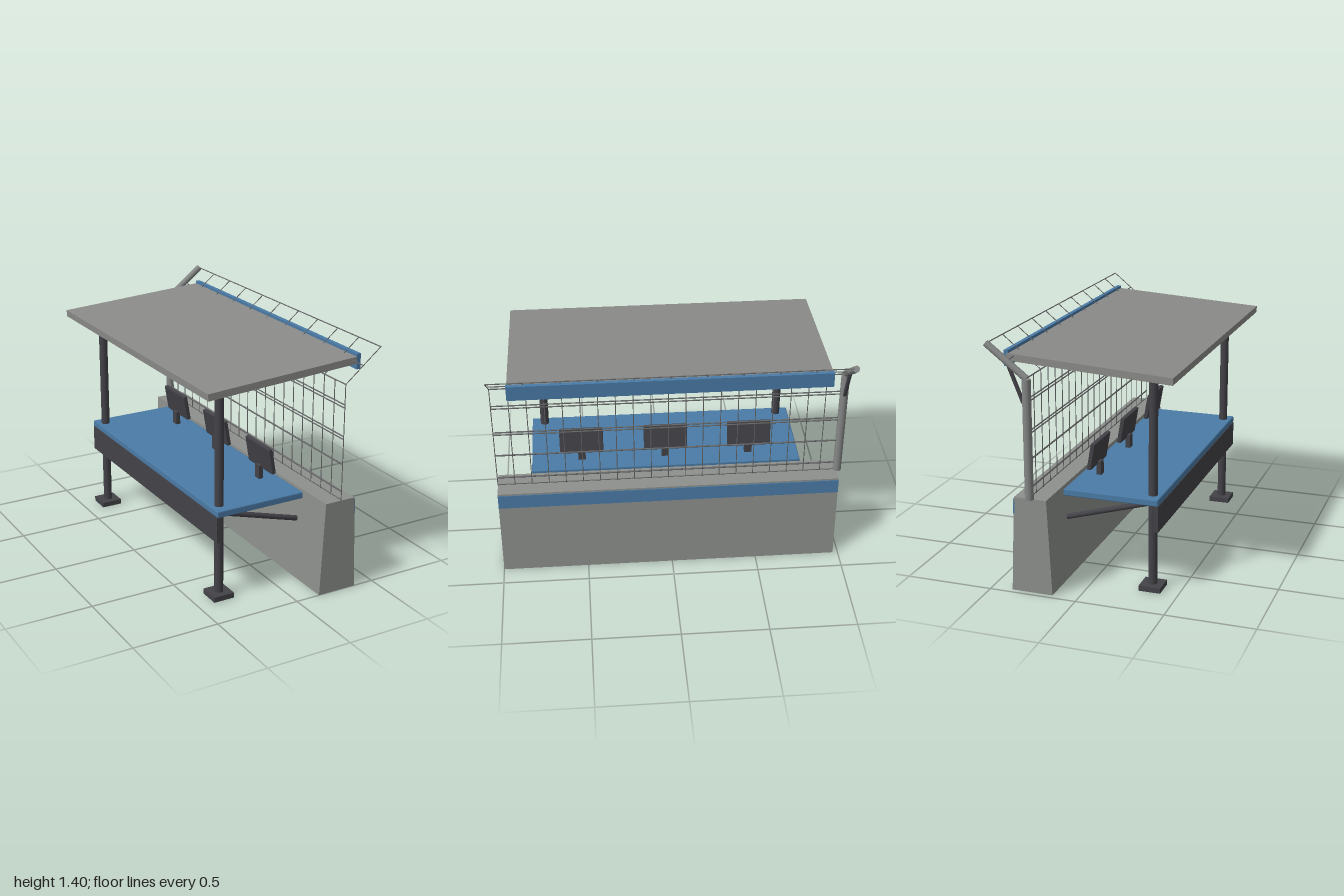
import * as THREE from 'three';
import { RoundedBoxGeometry } from 'three/addons/geometries/RoundedBoxGeometry.js';

const mat = (name, color) => {
  const m = new THREE.MeshStandardMaterial({ color });
  m.name = name;
  return m;
};

export function createModel() {
  const root = new THREE.Group();
  root.name = 'trackside shelter';
  const concrete = mat('concrete grey', 0x8e908d);
  const roofGrey = mat('roof grey', 0x8b8c8a);
  const blue = mat('blue', 0x4a7ba6);
  const dark = mat('dark steel', 0x434248);
  const steel = mat('galvanised steel', 0x858786);
  const wireMat = mat('wire grey', 0x68696a);

  const add = (name, geo, material, x = 0, y = 0, z = 0) => {
    const m = new THREE.Mesh(geo, material);
    m.name = name;
    m.position.set(x, y, z);
    root.add(m);
    return m;
  };
  // Box given by its min and max corners, optionally with softened edges
  const box = (name, material, a, b, r = 0) => {
    const s = a.map((v, i) => b[i] - v);
    const geo = r ? new RoundedBoxGeometry(...s, 1, r) : new THREE.BoxGeometry(...s);
    return add(name, geo, material, ...a.map((v, i) => (v + b[i]) / 2));
  };
  // Straight bar between two points
  const bar = (name, material, a, b, r, sides = 14) => {
    const p = new THREE.Vector3(...a), q = new THREE.Vector3(...b);
    const d = q.clone().sub(p);
    const m = add(name, new THREE.CylinderGeometry(r, r, d.length(), sides), material);
    m.position.copy(p).add(q).multiplyScalar(0.5);
    m.quaternion.setFromUnitVectors(new THREE.Vector3(0, 1, 0), d.normalize());
    return m;
  };

  // Tapered concrete barrier with a blue band on its outer face
  const extrude = (pts, z0, z1) => {
    const shape = new THREE.Shape(pts.map(p => new THREE.Vector2(...p)));
    return new THREE.ExtrudeGeometry(shape, { depth: z1 - z0, bevelEnabled: false }).translate(0, 0, z0);
  };
  add('barrier', extrude([[0.144, 0], [0.38, 0], [0.356, 0.545], [0.17, 0.545]], -0.97, 1), concrete);
  add('barrierBand', extrude([[0.355, 0.45], [0.364, 0.45], [0.361, 0.535], [0.352, 0.535]], -0.97, 1), blue);

  // Desk with front apron
  box('desk', blue, [-0.39, 0.508, -0.775], [0.15, 0.546, 0.805], 0.006);
  box('apron', dark, [-0.391, 0.36, -0.77], [-0.366, 0.508, 0.8]);

  // Posts, feet, desk braces and roof beams
  for (const z of [0.73, -0.70]) {
    bar('post', dark, [-0.34, 0.02, z], [-0.34, 1.235, z], 0.025, 18);
    box('foot', dark, [-0.402, 0, z - 0.062], [-0.278, 0.03, z + 0.062]);
    bar('deskBrace', dark, [-0.33, 0.5, z], [0.158, 0.357, z], 0.015);
    bar('roofBeam', dark, [-0.33, 1.203, z], [0.325, 1.245, z], 0.015);
  }

  // Sloping roof and its blue fascia
  add('roof', extrude([[-0.498, 1.217], [0.418, 1.271], [0.418, 1.311], [-0.5, 1.256]], -0.875, 0.895), roofGrey);
  box('fascia', blue, [0.408, 1.24, -0.875], [0.432, 1.327, 0.897]);

  // Monitors on stands
  for (const z of [0.51, 0.016, -0.477]) {
    box('monitorStand', dark, [0.033, 0.545, z - 0.022], [0.06, 0.625, z + 0.022]);
    const screen = add('monitor', new RoundedBoxGeometry(0.025, 0.154, 0.255, 1, 0.004), dark, 0.054, 0.683, z);
    screen.rotation.z = 0.17;
  }

  // Fence post with outward arm and strut
  bar('fencePost', steel, [0.263, 0.545, -0.975], [0.263, 1.21, -0.975], 0.024, 18);
  bar('fenceArm', steel, [0.262, 1.212, -0.975], [0.486, 1.384, -0.975], 0.019, 16);
  bar('fenceStrut', dark, [0.283, 1.08, -0.975], [0.365, 1.285, -0.975], 0.011, 10);

  // Wire mesh: upright panel below, leaning panel above
  const z0 = -0.97, z1 = 1, fx = 0.267;
  const rows = [[0.55, 0.003], [0.6, 0.005], [0.757, 0.005], [0.9, 0.004], [0.917, 0.004],
    [1.078, 0.004], [1.096, 0.004], [1.21, 0.004]];
  for (const [y, r] of rows) bar('fenceRail', wireMat, [fx, y, z0], [fx, y, z1], r, 6);
  for (let i = 0; i <= 20; i++) {
    const z = z1 - i * (z1 - z0) / 20;
    bar('fenceWire', wireMat, [fx, 0.545, z], [fx, 1.21, z], 0.0025, 6);
    if (i % 2 === 0) bar('overhangWire', wireMat, [fx, 1.21, z], [0.483, 1.384, z], 0.0025, 6);
  }
  for (const t of [0.5, 1]) {
    const x = fx + t * 0.216, y = 1.21 + t * 0.174;
    bar('overhangRail', wireMat, [x, y, z0], [x, y, z1], 0.0035, 6);
  }
  return root;
}
